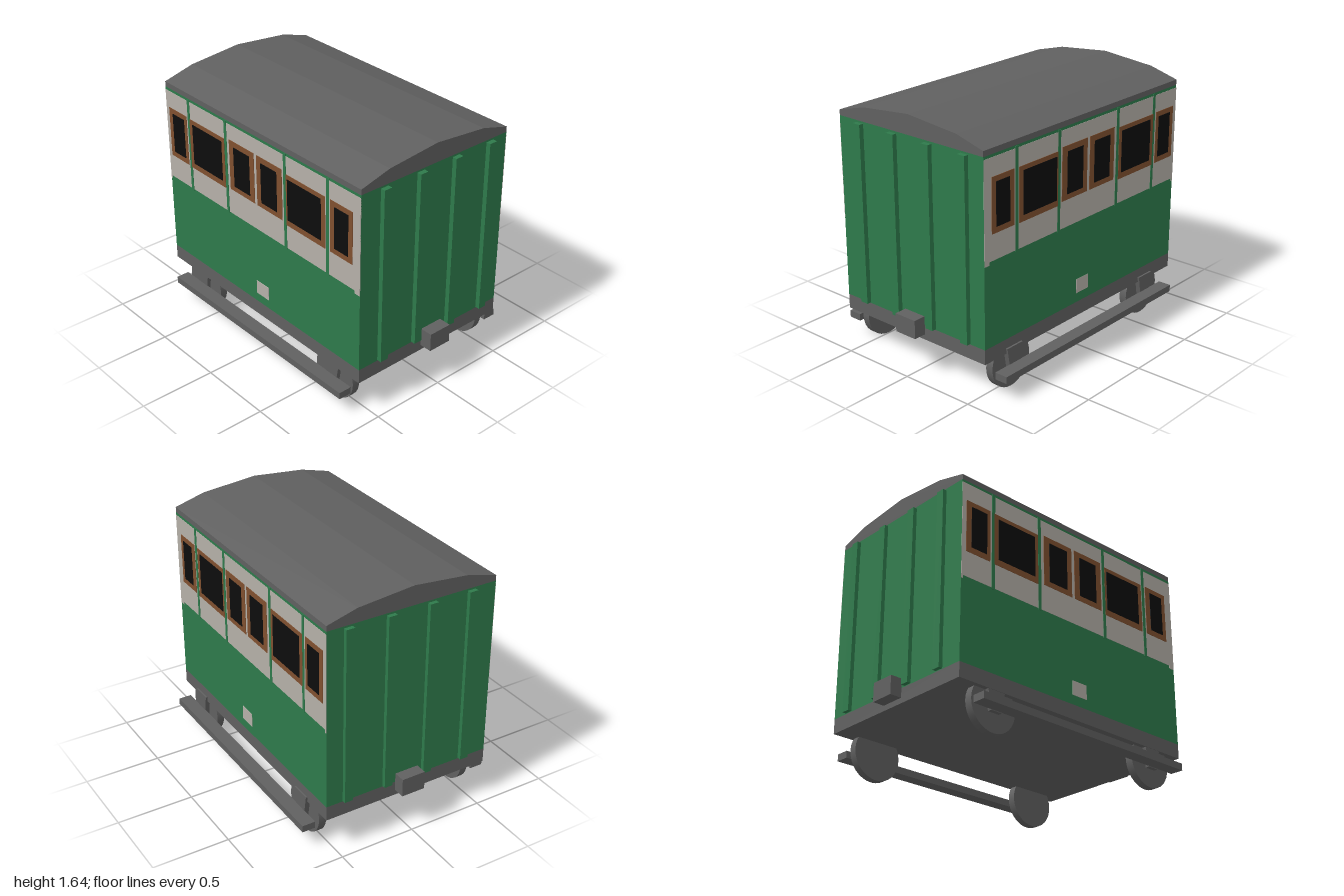
import * as THREE from 'three';

function material(name, color) {
  const m = new THREE.MeshStandardMaterial({ color });
  m.name = name;
  return m;
}

export function createModel() {
  const grey = material('grey', 0x606060);
  const green = material('green', 0x2e7a4b);
  const cream = material('cream', 0xb5b0a8);
  const brown = material('brown', 0x80502f);
  const black = material('black', 0x0d0d0d);

  const model = new THREE.Group();
  model.name = 'railwayCarriage';

  const add = (name, geometry, mat, parent = model) => {
    const mesh = new THREE.Mesh(geometry, mat);
    mesh.name = name;
    parent.add(mesh);
    return mesh;
  };
  // Box given by its limits on each axis
  const box = (name, mat, [x0, x1], [y0, y1], [z0, z1], parent) => {
    const g = new THREE.BoxGeometry(x1 - x0, y1 - y0, z1 - z0);
    g.translate((x0 + x1) / 2, (y0 + y1) / 2, (z0 + z1) / 2);
    return add(name, g, mat, parent);
  };
  // Outline in z and y, extruded along x
  const sidePlate = (name, mat, points, x0, x1, parent) => {
    const shape = new THREE.Shape(points.map(([z, y]) => new THREE.Vector2(-z, y)));
    const g = new THREE.ExtrudeGeometry(shape, { depth: x1 - x0, bevelEnabled: false });
    g.rotateY(Math.PI / 2).translate(x0, 0, 0);
    return add(name, g, mat, parent);
  };

  const X = [-0.585, 0.565], Z = [-0.922, 0.917];

  // Chassis and body
  box('chassis', grey, X, [0.245, 0.34], Z);
  box('body', green, X, [0.34, 1.515], Z);

  // Faceted arched roof
  const arch = [[X[0], 1.515], [X[1], 1.515], [X[1], 1.55], [0.365, 1.605],
    [-0.01, 1.64], [-0.375, 1.605], [X[0], 1.55]];
  const roof = new THREE.ExtrudeGeometry(
    new THREE.Shape(arch.map(([x, y]) => new THREE.Vector2(x, y))),
    { depth: Z[1] - Z[0], bevelEnabled: false });
  roof.translate(0, 0, Z[0]);
  add('roof', roof, grey);

  // End battens and buffers
  for (const end of [-1, 1]) {
    const reach = (a, b) => (end > 0 ? [a, b] : [-b, -a]);
    for (const x of [-0.412, -0.135, 0.145, 0.424]) {
      box('endBatten', green, [x - 0.028, x + 0.028], [0.345, 1.503], reach(0.91, 0.948));
    }
    box('buffer', grey, [-0.08, 0.08], [0.28, 0.4], reach(0.91, 1));
  }

  // Window frame limits in z and y, then glass limits
  const windows = [
    [[0.665, 0.855], [1.043, 1.383], [0.705, 0.82], [1.08, 1.35]],
    [[0.275, 0.622], [1.04, 1.38], [0.29, 0.587], [1.08, 1.352]],
    [[0, 0.237], [1.055, 1.395], [0.043, 0.19], [1.09, 1.358]],
    [[-0.265, -0.025], [1.055, 1.395], [-0.22, -0.068], [1.09, 1.358]],
    [[-0.672, -0.315], [1.04, 1.38], [-0.64, -0.342], [1.08, 1.352]],
    [[-0.89, -0.705], [1.043, 1.383], [-0.852, -0.732], [1.08, 1.35]],
  ];

  // Both sides carry the same panels, mirrored in x
  for (const side of [-1, 1]) {
    const panel = new THREE.Group();
    panel.name = side > 0 ? 'leftSide' : 'rightSide';
    model.add(panel);
    const face = side > 0 ? X[1] : -X[0];
    const layer = (a, b) => (side > 0 ? [face + a, face + b] : [-face - b, -face - a]);

    // Cream upper panel, with slightly lower ends
    sidePlate('upperPanel', cream, [
      [Z[1], 0.86], [0.875, 0.86], [0.875, 0.88], [-0.91, 0.88],
      [-0.91, 0.86], [Z[0], 0.86], [Z[0], 1.497], [Z[1], 1.497],
    ].reverse(), ...layer(-0.002, 0.002), panel);

    for (const z of [0.643, 0.264, -0.301, -0.679]) {
      box('panelStrip', green, layer(0, 0.004), [0.87, 1.51], [z - 0.012, z + 0.012], panel);
    }
    for (const [fz, fy, gz, gy] of windows) {
      box('windowFrame', brown, layer(0, 0.005), fy, fz, panel);
      box('windowGlass', black, layer(0, 0.008), gy, gz, panel);
    }
    box('lowerPlate', cream, layer(-0.002, 0.003), [0.402, 0.495], [-0.036, 0.082], panel);

    // Footboard
    box('footboard', grey, side > 0 ? [0.575, 0.663] : [-0.668, -0.58],
      [0.125, 0.17], [-0.813, 0.842], panel);

    // Wheels with tapered axle boxes
    for (const z of [0.668, -0.642]) {
      const wheel = new THREE.CylinderGeometry(0.165, 0.165, 0.05, 32);
      wheel.rotateZ(Math.PI / 2).translate(side * 0.525 - 0.005, 0.165, z);
      add('wheel', wheel, grey, panel);
      sidePlate('axleBox', grey, [
        [z - 0.068, 0.28], [z - 0.04, 0.12], [z + 0.04, 0.12], [z + 0.068, 0.28],
      ], ...(side > 0 ? [0.54, 0.577] : [-0.582, -0.545]), panel);
    }
  }
  return model;
}
